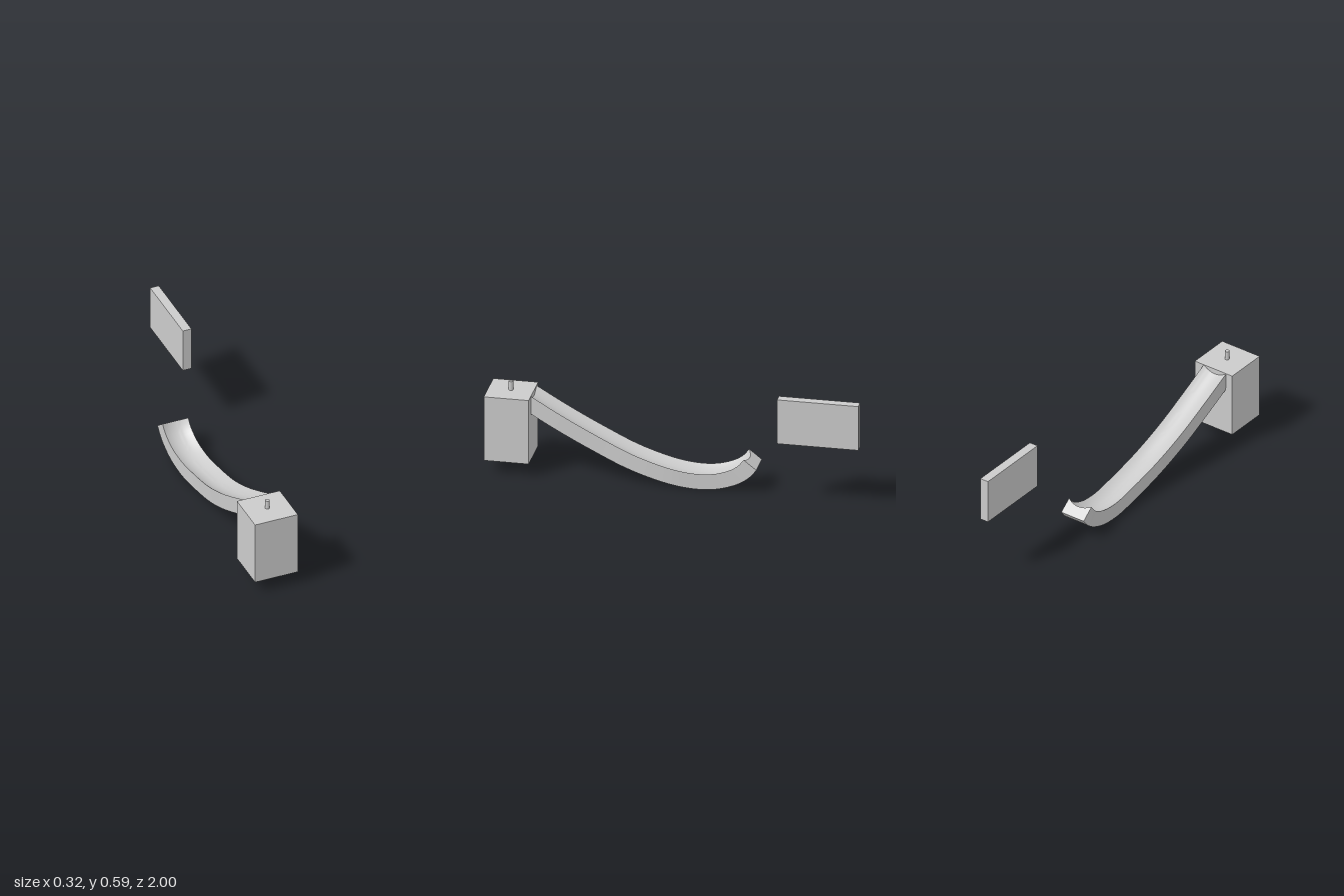
import * as THREE from 'three';
import { toCreasedNormals } from 'three/addons/utils/BufferGeometryUtils.js';

const grey = new THREE.MeshStandardMaterial({ color: 0xcccccc });

function addPart(group, name, geometry, x = 0, y = 0, z = 0) {
  const mesh = new THREE.Mesh(geometry, grey);
  mesh.name = name;
  mesh.position.set(x, y, z);
  group.add(mesh);
}

// Curved beam with a shallow groove along its top, swept along its upper edge line
function slideGeometry() {
  const path = new THREE.CatmullRomCurve3([
    [-0.047, 0.436, 0.765], [-0.038, 0.345, 0.6], [-0.029, 0.245, 0.4],
    [-0.015, 0.16, 0.2], [-0.006, 0.105, 0], [-0.009, 0.09, -0.12],
    [-0.012, 0.094, -0.2], [-0.015, 0.105, -0.25], [-0.017, 0.129, -0.31],
    [-0.019, 0.156, -0.346], [-0.02, 0.187, -0.37],
  ].map((p) => new THREE.Vector3(...p)));

  // Cross-section, counterclockwise: flat bottom and sides, concave top
  const half = 0.0725, thick = 0.086, dip = 0.024, arcSteps = 12;
  const section = [new THREE.Vector2(-half, -thick), new THREE.Vector2(half, -thick)];
  for (let i = 0; i <= arcSteps; i++) {
    const u = 1 - (2 * i) / arcSteps;
    section.push(new THREE.Vector2(u * half, -dip * (1 - u * u)));
  }

  const rings = 64, n = section.length;
  const positions = [], index = [];
  for (let j = 0; j <= rings; j++) {
    const p = path.getPointAt(j / rings);
    const t = path.getTangentAt(j / rings);
    const up = new THREE.Vector3(0, -t.z, t.y).normalize();
    for (const s of section) {
      positions.push(p.x + s.x, p.y + up.y * s.y, p.z + up.z * s.y);
    }
  }
  for (let j = 0; j < rings; j++) {
    for (let i = 0; i < n; i++) {
      const a = j * n + i, b = j * n + ((i + 1) % n);
      index.push(a, a + n, b, b, a + n, b + n);
    }
  }
  // End caps
  const last = rings * n;
  for (const [a, b, c] of THREE.ShapeUtils.triangulateShape(section, [])) {
    index.push(a, b, c, last + a, last + c, last + b);
  }
  const geometry = new THREE.BufferGeometry();
  geometry.setAttribute('position', new THREE.Float32BufferAttribute(positions, 3));
  geometry.setIndex(index);
  return toCreasedNormals(geometry, Math.PI / 5);
}

export function createModel() {
  const model = new THREE.Group();
  model.name = 'slideModel';

  // Tower block with a thin pin running through it
  addPart(model, 'towerBlock', new THREE.BoxGeometry(0.242, 0.361, 0.238), -0.038, 0.2555, 0.881);
  addPart(model, 'pin', new THREE.CylinderGeometry(0.012, 0.012, 0.423, 24), -0.038, 0.2735, 0.881);

  // Grooved slide leaving the back of the block
  addPart(model, 'slide', slideGeometry());

  // Separate upright panel behind
  addPart(model, 'panel', new THREE.BoxGeometry(0.049, 0.249, 0.43), 0.1325, 0.4675, -0.785);

  return model;
}
